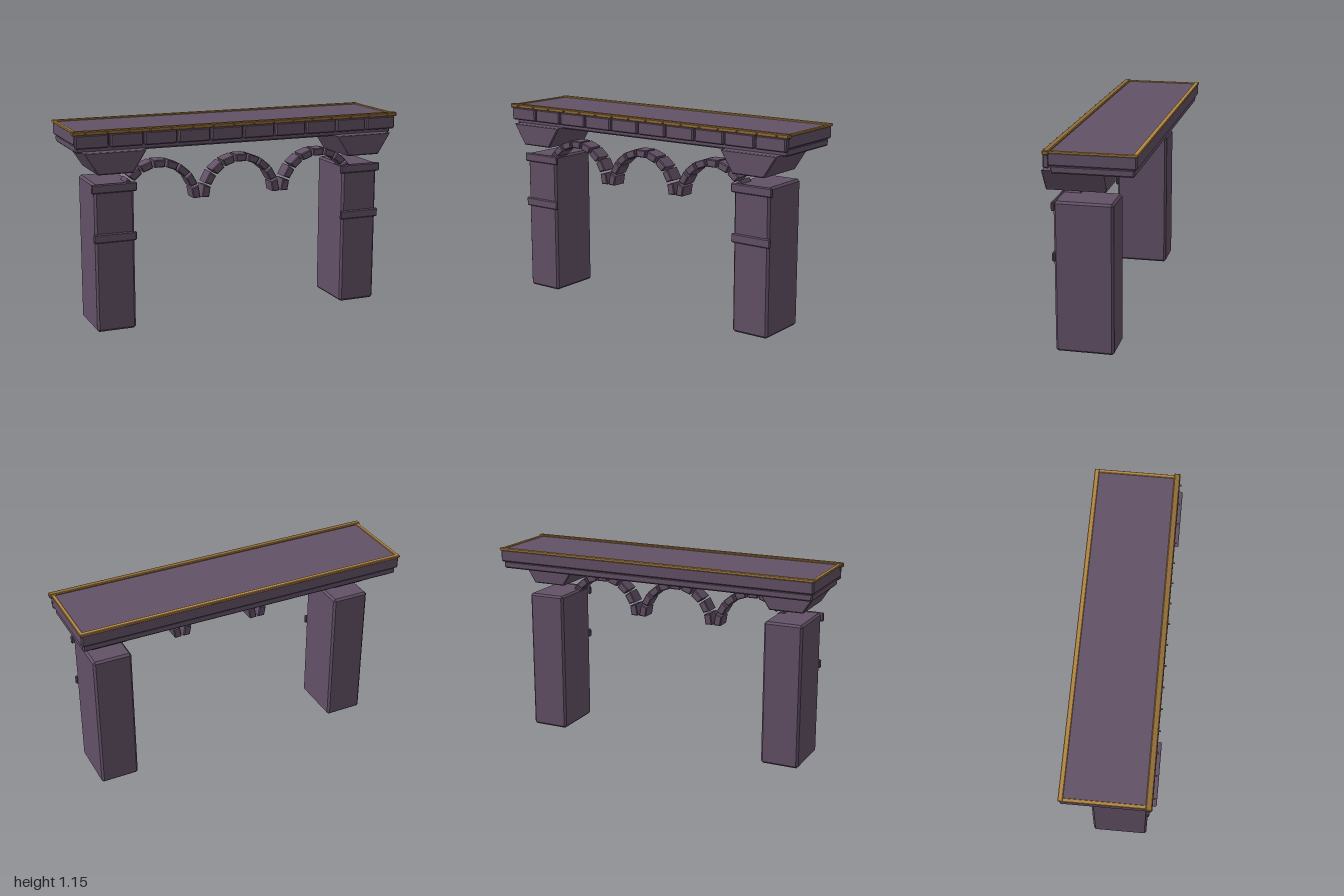
import * as THREE from 'three';
import { ConvexGeometry } from 'three/addons/geometries/ConvexGeometry.js';

const stone = new THREE.MeshStandardMaterial({ name: 'purple stone', color: 0x625166 });
const gold = new THREE.MeshStandardMaterial({ name: 'gold trim', color: 0xb08542 });
const bronze = new THREE.MeshStandardMaterial({ name: 'dark gold', color: 0x8f6a36 });

// Box with chamfered edges, given by its limits on each axis
function chamferBox(name, [x0, x1], [y0, y1], [z0, z1], c, material) {
  const half = [(x1 - x0) / 2, (y1 - y0) / 2, (z1 - z0) / 2];
  const points = [];
  for (const sx of [-1, 1]) for (const sy of [-1, 1]) for (const sz of [-1, 1]) {
    for (let axis = 0; axis < 3; axis++) {
      const h = half.map((v, i) => (i === axis ? v : v - c));
      points.push(new THREE.Vector3(sx * h[0], sy * h[1], sz * h[2]));
    }
  }
  const mesh = new THREE.Mesh(new ConvexGeometry(points), material);
  mesh.position.set((x0 + x1) / 2, (y0 + y1) / 2, (z0 + z1) / 2);
  mesh.name = name;
  return mesh;
}

// Polygon in the front plane extruded from z0 to z1 with a small bevel
function prism(name, corners, z0, z1, bevel) {
  const shape = new THREE.Shape(corners.map(([x, y]) => new THREE.Vector2(x, y)));
  const geometry = new THREE.ExtrudeGeometry(shape, {
    depth: z1 - z0 - 2 * bevel, bevelEnabled: true, bevelSegments: 1,
    bevelSize: bevel, bevelThickness: bevel, bevelOffset: -bevel,
  });
  geometry.translate(0, 0, z0 + bevel);
  const mesh = new THREE.Mesh(geometry, stone);
  mesh.name = name;
  return mesh;
}

function createPier(x) {
  const pier = new THREE.Group();
  pier.name = x < 0 ? 'rightPier' : 'leftPier';
  pier.position.x = x;
  pier.add(
    chamferBox('shaft', [-0.114, 0.114], [0, 0.85], [-0.107, 0.217], 0.012, stone),
    chamferBox('upperBand', [-0.131, 0.131], [0.8, 0.852], [0.207, 0.226], 0.006, stone),
    chamferBox('middleBand', [-0.125, 0.125], [0.518, 0.57], [0.207, 0.226], 0.006, stone),
    prism('capital', [[-0.1, 0.91], [0.1, 0.91], [0.18, 1.035], [-0.18, 1.035]], -0.07, 0.26, 0.006),
  );
  return pier;
}

// Semicircle of nine separate wedge stones
function createArch(x) {
  const arch = new THREE.Group();
  arch.name = 'arch';
  arch.position.set(x, 0.72, 0);
  const count = 9, inner = 0.2, outer = 0.243;
  for (let i = 0; i < count; i++) {
    const mid = ((i + 0.5) * Math.PI) / count;
    const spread = (Math.PI / count) * 0.42;
    const at = (r, a) => [r * Math.cos(a), r * Math.sin(a)];
    arch.add(prism('archStone', [
      at(inner, mid - spread), at(outer, mid - spread),
      at(outer, mid + spread), at(inner, mid + spread),
    ], 0.11, 0.208, 0.005));
  }
  return arch;
}

export function createModel() {
  const model = new THREE.Group();
  model.name = 'balcony';

  for (const x of [-0.767, 0.767]) model.add(createPier(x));
  for (const x of [-0.495, 0, 0.495]) model.add(createArch(x));

  // Deck
  model.add(
    chamferBox('deckSlab', [-0.985, 0.985], [1.068, 1.143], [-0.255, 0.215], 0.008, stone),
    chamferBox('deckUnderside', [-0.975, 0.975], [1.027, 1.07], [-0.24, 0.203], 0.008, stone),
  );

  // Row of facing stones along the front
  const pitch = 0.198;
  for (let i = 0; i < 10; i++) {
    const x = (i - 4.5) * pitch;
    model.add(chamferBox('facingStone', [x - 0.094, x + 0.094], [1.055, 1.132], [0.205, 0.239], 0.007, stone));
  }

  // Trim around the deck
  model.add(
    chamferBox('frontTrim', [-1, 1], [1.128, 1.153], [0.202, 0.238], 0.005, bronze),
    chamferBox('backTrim', [-0.99, 0.99], [1.137, 1.152], [-0.26, -0.233], 0.003, gold),
  );
  for (const s of [-1, 1]) {
    const x = s * 0.98;
    model.add(chamferBox('sideTrim', [x - 0.01, x + 0.01], [1.137, 1.149], [-0.245, 0.21], 0.002, gold));
  }

  // Studs on the front trim
  for (let i = 0; i < 16; i++) {
    const stud = new THREE.Mesh(new THREE.CylinderGeometry(0.005, 0.005, 0.014, 8), bronze);
    stud.name = 'trimStud';
    stud.rotation.x = Math.PI / 2;
    stud.position.set((i - 7.5) * 0.124, 1.14, 0.242);
    model.add(stud);
  }
  return model;
}
